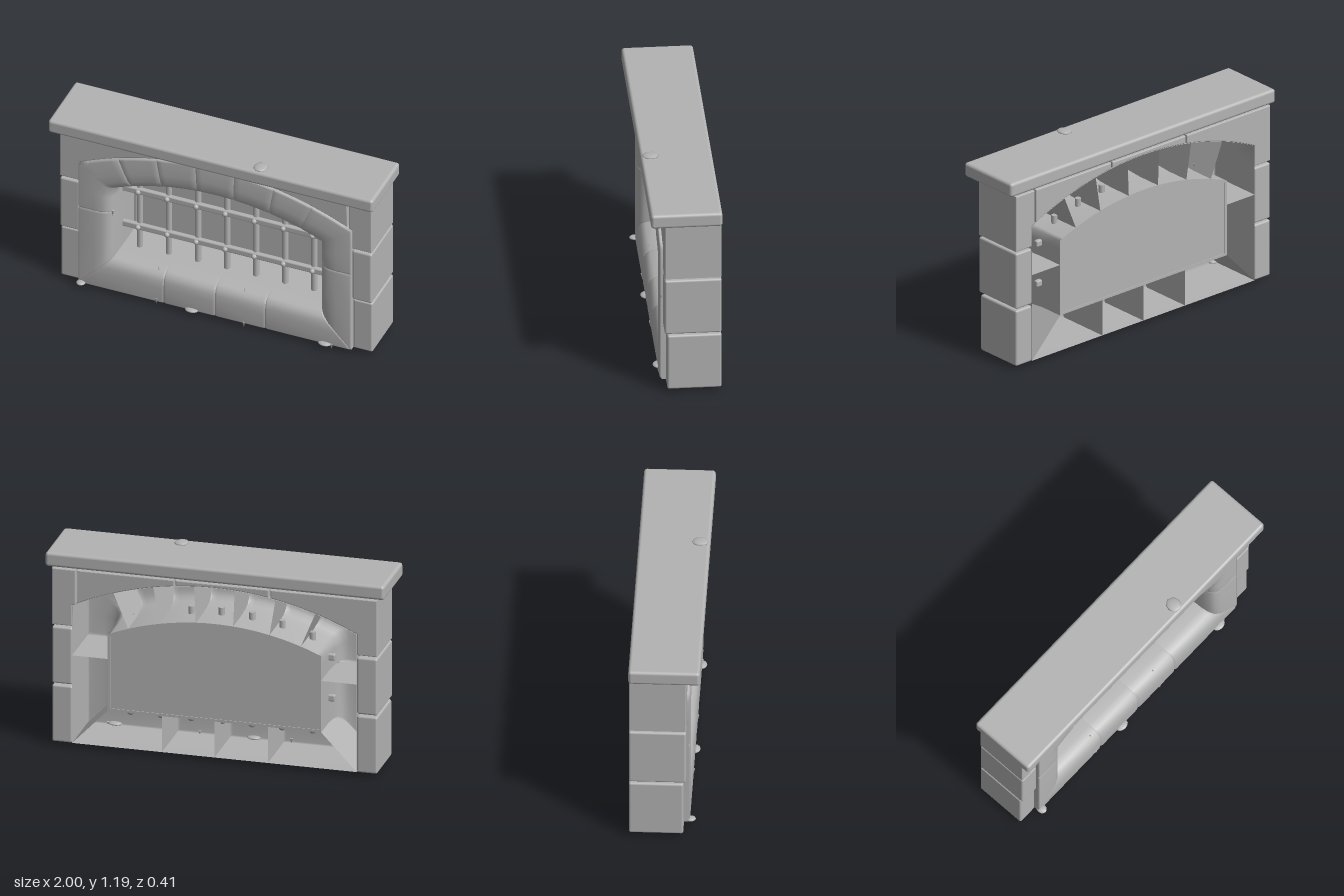
import * as THREE from 'three';
import { mergeGeometries } from 'three/addons/utils/BufferGeometryUtils.js';
import { RoundedBoxGeometry } from 'three/addons/geometries/RoundedBoxGeometry.js';

const BACK = -0.2;
const lerp = THREE.MathUtils.lerp;
// Stone cross-section: t runs from outer edge (0) to inner edge (1), with depth z
const PROFILE = [[0, BACK], [0, 0.136], [0.04, 0.143], [0.45, 0.144], [0.68, 0.141], [0.83, 0.128],
  [0.92, 0.102], [0.97, 0.055], [1, -0.05], [1, BACK]];
const outerY = (x) => Math.sqrt(1.907 ** 2 - x * x) - 0.842;
const innerY = (x) => Math.sqrt(1.592 ** 2 - x * x) - 0.746;

// Smooth sheet from rows of points
function sheet(rows) {
  const n = rows[0].length, index = [];
  for (let i = 0; i < rows.length - 1; i++) {
    for (let j = 0; j < n - 1; j++) {
      const a = i * n + j, b = a + n;
      index.push(a, b, a + 1, b, b + 1, a + 1);
    }
  }
  const g = new THREE.BufferGeometry();
  g.setAttribute('position', new THREE.Float32BufferAttribute(rows.flat(2), 3));
  g.setIndex(index);
  g.computeVertexNormals();
  return g;
}

// Hollow stone, open at the back, with softened ends; stations are [outerX, outerY, innerX, innerY]
function stoneGeometry(stations) {
  const n = stations.length;
  const towards = (a, b) => {
    const f = 0.014 / Math.hypot(b[0] - a[0], b[1] - a[1]);
    return a.map((v, i) => lerp(v, b[i], f));
  };
  const path = [stations[0], towards(stations[0], stations[1]), ...stations.slice(1, -1),
    towards(stations[n - 1], stations[n - 2]), stations[n - 1]];
  const rows = path.map(([ox, oy, ix, iy], k) => {
    const dip = k === 0 || k === path.length - 1 ? 0.006 : 0;
    return PROFILE.map(([t, z]) => [lerp(ox, ix, t), lerp(oy, iy, t), z > 0 ? z - dip : z]);
  });
  const cap = (row) => sheet([row, row.map(() => row[0])]);
  return mergeGeometries([sheet(rows), cap(rows[0]), cap(rows[rows.length - 1])]);
}

// Outline of the opening, optionally shrunk inwards
function openingPath(path, inset) {
  const h = 0.63 - inset;
  path.moveTo(-h, 0.25 + inset);
  path.lineTo(h, 0.25 + inset);
  for (let i = 0; i <= 24; i++) {
    const x = h - (2 * h * i) / 24;
    path.lineTo(x, innerY(x) - inset);
  }
  path.closePath();
  return path;
}

export function createModel() {
  const root = new THREE.Group();
  const stone = new THREE.MeshStandardMaterial({ color: 0xb3b3b3, side: THREE.DoubleSide });
  stone.name = 'plain grey';
  const add = (name, geometry, x = 0, y = 0, z = 0) => {
    const m = new THREE.Mesh(geometry, stone);
    m.name = name;
    m.position.set(x, y, z);
    root.add(m);
    return m;
  };

  // Top slab
  add('lintelSlab', new RoundedBoxGeometry(2, 0.086, 0.408, 4, 0.018), 0, 1.135, 0.002);

  // Side blocks, lower two courses
  for (const side of [-1, 1]) {
    [[0.028, 0.374, 0.11], [0.384, 0.73, 0.125]].forEach(([y0, y1, z1]) => {
      add('sideBlock', new RoundedBoxGeometry(0.12, y1 - y0, z1 - BACK, 3, 0.012),
        side * 0.9, (y0 + y1) / 2, (z1 + BACK) / 2);
    });
  }

  // Top course, cut to follow the arch
  for (const [x0, x1] of [[-0.96, -0.33], [-0.32, 0.23], [0.24, 0.81], [0.82, 0.96]]) {
    const s = new THREE.Shape();
    s.moveTo(x0, 1.087);
    if (x0 < -0.84) {
      s.lineTo(x0, 0.743);
      s.lineTo(-0.84, 0.743);
    }
    const a = Math.max(x0, -0.84), b = Math.min(x1, 0.84);
    for (let i = 0; i <= 14; i++) {
      const x = lerp(a, b, i / 14);
      s.lineTo(x, outerY(x));
    }
    if (x1 > 0.84) {
      s.lineTo(0.84, 0.743);
      s.lineTo(x1, 0.743);
    }
    s.lineTo(x1, 1.087);
    s.closePath();
    const bevel = 0.006;
    add('topBlock', new THREE.ExtrudeGeometry(s, {
      depth: 0.325 - 2 * bevel, bevelEnabled: true, bevelThickness: bevel,
      bevelSize: bevel, bevelOffset: -bevel, bevelSegments: 3,
    }), 0, 0, BACK + bevel);
  }

  // Arch stones
  const seams = [[-0.595, -0.51], [-0.36, -0.325], [-0.12, -0.11], [0.12, 0.11], [0.36, 0.325], [0.595, 0.51]];
  const archStation = (o, i) => [o, outerY(o), i, innerY(i)];
  for (let k = 0; k < seams.length - 1; k++) {
    const stations = [];
    for (let i = 0; i <= 6; i++) {
      stations.push(archStation(lerp(seams[k][0], seams[k + 1][0], i / 6),
        lerp(seams[k][1], seams[k + 1][1], i / 6)));
    }
    add('archStone', stoneGeometry(stations));
  }

  // Arch shoulders and jambs
  for (const s of [-1, 1]) {
    const shoulder = [];
    for (let i = 0; i <= 5; i++) {
      shoulder.push(archStation(s * (0.595 + 0.049 * i), s * (0.51 + 0.024 * i)));
    }
    shoulder.push([s * 0.84, 0.72, s * 0.63, 0.66], [s * 0.84, 0.565, s * 0.63, 0.565]);
    add('archShoulder', stoneGeometry(shoulder));
    add('jambStone', stoneGeometry([[s * 0.84, 0.565, s * 0.63, 0.565],
      [s * 0.84, 0.3, s * 0.63, 0.4], [s * 0.84, 0.03, s * 0.63, 0.25]]));
  }

  // Sill stones with mitred ends
  const sill = [[-0.84, -0.63], [-0.315, -0.315], [0, 0], [0.31, 0.31], [0.84, 0.63]];
  for (let k = 0; k < 4; k++) {
    add('sillStone', stoneGeometry([sill[k], sill[k + 1]].map(([o, i]) => [o, 0.03, i, 0.25])));
  }

  // Back panel and its thin rim
  add('backPanel', new THREE.ExtrudeGeometry(openingPath(new THREE.Shape(), 0.014),
    { depth: 0.01, bevelEnabled: false }), 0, 0, BACK + 0.004);
  const rim = openingPath(new THREE.Shape(), 0);
  rim.holes.push(openingPath(new THREE.Path(), 0.014));
  add('panelRim', new THREE.ExtrudeGeometry(rim, { depth: 0.018, bevelEnabled: false }), 0, 0, BACK);

  // Grille of upright and cross bars with rivets
  const rails = [0.4, 0.65];
  for (let i = -3; i <= 3; i++) {
    const x = i * 0.179, top = innerY(x) + 0.045;
    add('uprightBar', new THREE.CylinderGeometry(0.018, 0.018, top - 0.2, 10), x, (top + 0.2) / 2, -0.045);
    add('barFoot', new THREE.SphereGeometry(0.024, 8, 6), x, 0.2, -0.045);
    for (const y of rails) add('rivet', new THREE.SphereGeometry(0.016, 10, 8), x, y, -0.012);
  }
  for (const y of rails) {
    add('crossBar', new RoundedBoxGeometry(1.335, 0.04, 0.03, 2, 0.009), 0, y, -0.03);
  }

  // Flat chips of stone
  for (const [x, y, z, w] of [[0.29, 1.181, 0.15, 0.042], [-0.14, 0.039, 0.14, 0.042],
    [0.68, 0.039, 0.14, 0.042], [-0.82, 0.039, 0.145, 0.028]]) {
    const chip = add('stoneChip', new THREE.IcosahedronGeometry(1, 1), x, y, z);
    chip.scale.set(w, 0.011, y > 1 ? 0.047 : 0.032);
  }
  // Small splinters
  for (const [x, y, z] of [[0.72, 0.025, 0.14], [0.18, 0.025, 0.14], [-0.36, 0.035, 0.14],
    [-0.645, 0.55, 0.1], [-0.36, 0.235, 0.1], [0.17, 0.235, 0.1]]) {
    const splinter = add('splinter', new THREE.ConeGeometry(0.01, 0.04, 5), x, y, z);
    if (y !== 0.235) splinter.rotation.z = Math.PI;
  }
  return root;
}
